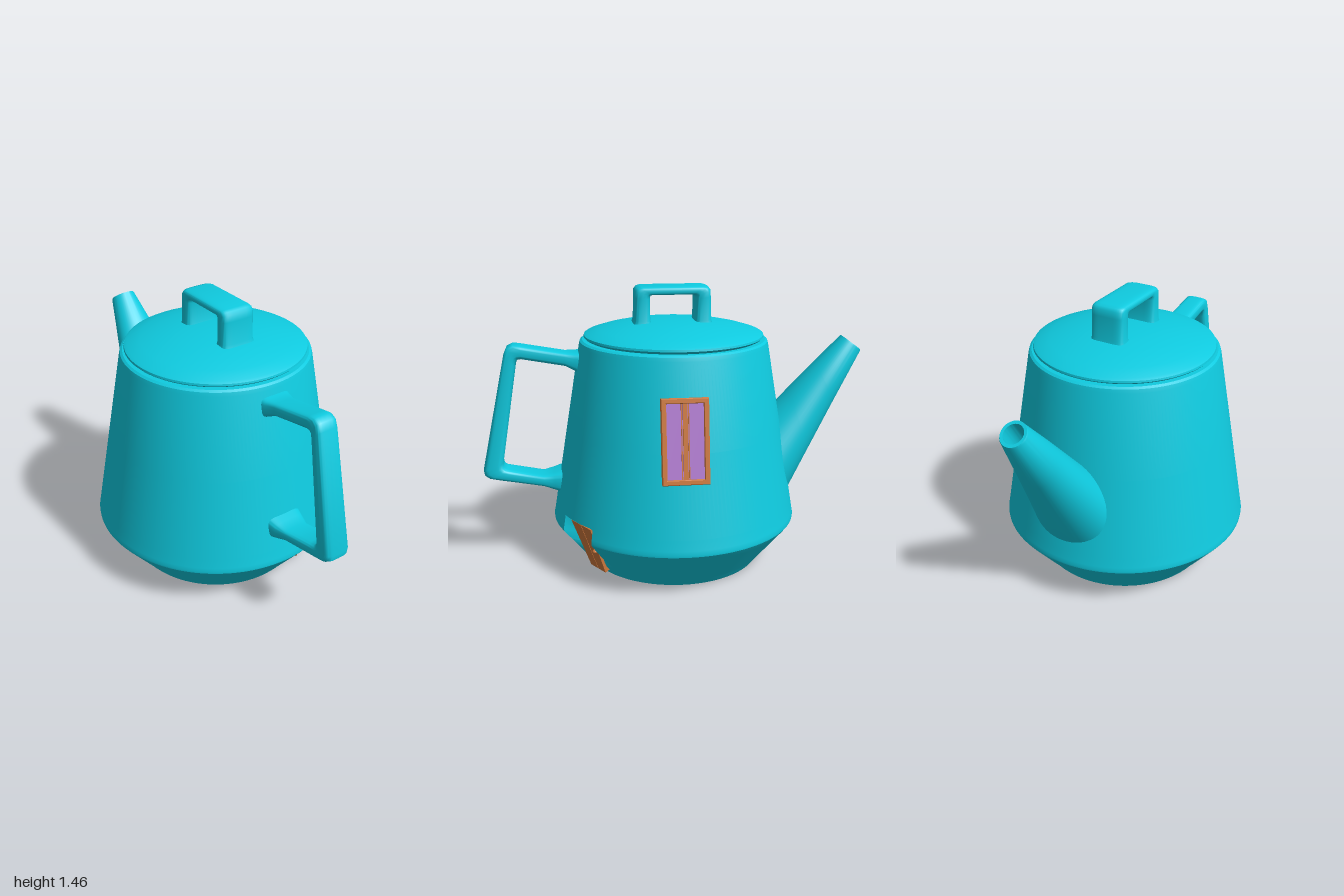
import * as THREE from 'three';
import { toCreasedNormals } from 'three/addons/utils/BufferGeometryUtils.js';

const teal = new THREE.MeshStandardMaterial({ name: 'teal glaze', color: 0x0fcbe0 });
const wood = new THREE.MeshStandardMaterial({ name: 'wood', color: 0xd07a3e });
const glass = new THREE.MeshStandardMaterial({ name: 'purple glass', color: 0xb57fd6 });

function addMesh(parent, name, geometry, material, x = 0, y = 0, z = 0) {
  const mesh = new THREE.Mesh(geometry, material);
  mesh.name = name;
  mesh.position.set(x, y, z);
  parent.add(mesh);
  return mesh;
}

const vectors = (list) => list.map(([x, y]) => new THREE.Vector2(x, y));

// Skin rings lying across the x = 0 plane. Each section is
// [outer z, outer y, inner z, inner y, half width]; power 1 is an ellipse, lower is boxier.
function loft(sections, power, sides = 32) {
  const positions = [], index = [];
  const soft = (v) => Math.sign(v) * Math.abs(v) ** power;
  sections.forEach(([oz, oy, iz, iy, w], i) => {
    for (let j = 0; j < sides; j++) {
      const a = (j / sides) * Math.PI * 2;
      const c = soft(Math.cos(a)) / 2;
      positions.push(w * soft(Math.sin(a)), (oy + iy) / 2 + (oy - iy) * c, (oz + iz) / 2 + (oz - iz) * c);
      if (i === 0) continue;
      const k = (j + 1) % sides, p = (i - 1) * sides, q = i * sides;
      index.push(p + j, q + j, p + k, p + k, q + j, q + k);
    }
  });
  const geometry = new THREE.BufferGeometry();
  geometry.setAttribute('position', new THREE.Float32BufferAttribute(positions, 3));
  geometry.setIndex(index);
  return toCreasedNormals(geometry, 0.75);
}

// Door placement: heading around the pot and the depth of its leaning face
const doorAngle = 0.567;
const doorDepth = (y) => 0.505 + 0.37 * (y - 0.04);

function bodyGeometry() {
  const profile = [[0, 0], [0.44, 0], [0.452, 0.004], [0.462, 0.016]];
  // Close rows around the doorway so the niche can be cut
  for (let i = 0; i <= 10; i++) profile.push([0.472 + 0.0158 * i, 0.03 + 0.0195 * i]);
  profile.push([0.641, 0.24], [0.642, 0.25], [0.638, 0.27], [0.63, 0.317], [0.629, 0.323],
    [0.56, 0.73], [0.487, 1.16], [0.482, 1.178], [0.47, 1.186], [0.3, 1.186]);
  const geometry = new THREE.LatheGeometry(vectors(profile), 180);
  // Press the doorway niche into the wall
  const pos = geometry.attributes.position;
  const s = Math.sin(doorAngle), c = Math.cos(doorAngle);
  for (let i = 0; i < pos.count; i++) {
    const x = pos.getX(i), y = pos.getY(i), z = pos.getZ(i);
    const depth = x * s + z * c, side = x * c - z * s;
    const limit = doorDepth(y) - 0.014;
    if (depth > limit && Math.abs(side) < 0.108 && y < 0.32) {
      pos.setX(i, x + s * (limit - depth));
      pos.setZ(i, z + c * (limit - depth));
    }
  }
  return toCreasedNormals(geometry, 0.5);
}

function makeWindow() {
  const group = new THREE.Group();
  group.name = 'window';
  group.position.set(0.55, 0.793, 0.012);
  group.rotation.set(-0.169, Math.PI / 2, 0, 'YXZ');
  const rect = (Kind, w, h) => new Kind(vectors([[-w, -h], [w, -h], [w, h], [-w, h]]));
  const outline = rect(THREE.Shape, 0.11, 0.202);
  outline.holes.push(rect(THREE.Path, 0.092, 0.183));
  const frame = new THREE.ExtrudeGeometry(outline, {
    depth: 0.04, bevelThickness: 0.003, bevelSize: 0.003, bevelSegments: 1,
  });
  addMesh(group, 'windowFrame', frame, wood, 0, 0, -0.019);
  addMesh(group, 'mullion', new THREE.BoxGeometry(0.022, 0.37, 0.03), wood, 0, 0, 0.005);
  for (const side of [-1, 1]) {
    addMesh(group, 'pane', new THREE.BoxGeometry(0.086, 0.368, 0.006), glass, side * 0.052, 0, 0.005);
    addMesh(group, 'sash', new THREE.BoxGeometry(0.005, 0.368, 0.016), wood, side * 0.017, 0, 0.005);
  }
  return group;
}

function makeDoor() {
  const group = new THREE.Group();
  group.name = 'door';
  const depth = doorDepth(0.172) - 0.012;
  group.position.set(depth * Math.sin(doorAngle), 0.172, depth * Math.cos(doorAngle));
  group.rotation.set(0.354, doorAngle, 0, 'YXZ');
  for (const side of [-1, 1]) {
    const leaf = new THREE.BoxGeometry(0.073, 0.288, 0.026, 1, 4, 1);
    leaf.translate(side * 0.0385, 0, 0);
    // Leaves widen toward the top
    const pos = leaf.attributes.position;
    for (let i = 0; i < pos.count; i++) pos.setX(i, pos.getX(i) * (1 + 0.95 * pos.getY(i)));
    leaf.computeVertexNormals();
    addMesh(group, 'doorLeaf', leaf, wood);
  }
  const gap = new THREE.BoxGeometry(0.01, 0.284, 0.016);
  addMesh(group, 'doorSeam', gap, wood);
  const knob = addMesh(group, 'doorKnob', new THREE.SphereGeometry(0.014, 16, 10), wood, 0.05, -0.005, 0.016);
  knob.scale.y = 0.7;
  return group;
}

export function createModel() {
  const pot = new THREE.Group();
  pot.name = 'teapotHouse';
  addMesh(pot, 'body', bodyGeometry(), teal);

  // Domed lid
  const lid = new THREE.LatheGeometry(vectors([
    [0.43, 1.18], [0.455, 1.193], [0.462, 1.2], [0.46, 1.21], [0.445, 1.218],
    [0.38, 1.238], [0.3, 1.256], [0.2, 1.272], [0.1, 1.28], [0, 1.282]]), 96);
  addMesh(pot, 'lid', toCreasedNormals(lid, 0.6), teal);

  // Arched lid grip, with a slight flare at both feet
  addMesh(pot, 'lidGrip', loft([
    [-0.2, 1.25, -0.09, 1.25, 0.1], [-0.188, 1.285, -0.103, 1.285, 0.09],
    [-0.185, 1.4, -0.105, 1.395, 0.09], [-0.183, 1.435, -0.103, 1.405, 0.09],
    [-0.172, 1.449, -0.098, 1.41, 0.089], [-0.15, 1.455, -0.09, 1.411, 0.088],
    [0.17, 1.455, 0.11, 1.411, 0.088], [0.19, 1.449, 0.118, 1.41, 0.089],
    [0.202, 1.435, 0.123, 1.405, 0.09], [0.204, 1.4, 0.125, 1.395, 0.09],
    [0.207, 1.285, 0.123, 1.285, 0.09], [0.22, 1.25, 0.11, 1.25, 0.1]], 0.5), teal);

  // Angular handle, flaring where it meets the body
  addMesh(pot, 'handle', loft([
    [0.44, 1.14, 0.44, 0.99, 0.1], [0.505, 1.125, 0.51, 1.03, 0.08],
    [0.56, 1.126, 0.56, 1.056, 0.064], [0.78, 1.166, 0.78, 1.096, 0.06],
    [0.82, 1.172, 0.795, 1.094, 0.06], [0.852, 1.157, 0.804, 1.086, 0.06],
    [0.868, 1.12, 0.81, 1.06, 0.06], [1.0, 0.515, 0.897, 0.55, 0.07],
    [0.996, 0.486, 0.893, 0.528, 0.07], [0.972, 0.468, 0.878, 0.516, 0.07],
    [0.93, 0.459, 0.85, 0.51, 0.07], [0.69, 0.416, 0.69, 0.476, 0.073],
    [0.63, 0.396, 0.635, 0.49, 0.09], [0.54, 0.37, 0.54, 0.52, 0.115]], 0.5), teal);

  // Tapered spout with an open, hollow tip
  addMesh(pot, 'spout', loft([
    [-0.5, 0.18, -0.42, 0.7, 0.245], [-0.6, 0.325, -0.515, 0.775, 0.215],
    [-0.7, 0.52, -0.61, 0.877, 0.176], [-0.85, 0.81, -0.75, 1.027, 0.12],
    [-0.996, 1.09, -0.888, 1.17, 0.068], [-0.998, 1.098, -0.893, 1.176, 0.064],
    [-0.985, 1.107, -0.905, 1.166, 0.05], [-0.9, 0.97, -0.82, 1.045, 0.05],
    [-0.86, 1.007, -0.86, 1.007, 0]], 1, 48), teal);

  pot.add(makeWindow(), makeDoor());
  return pot;
}
